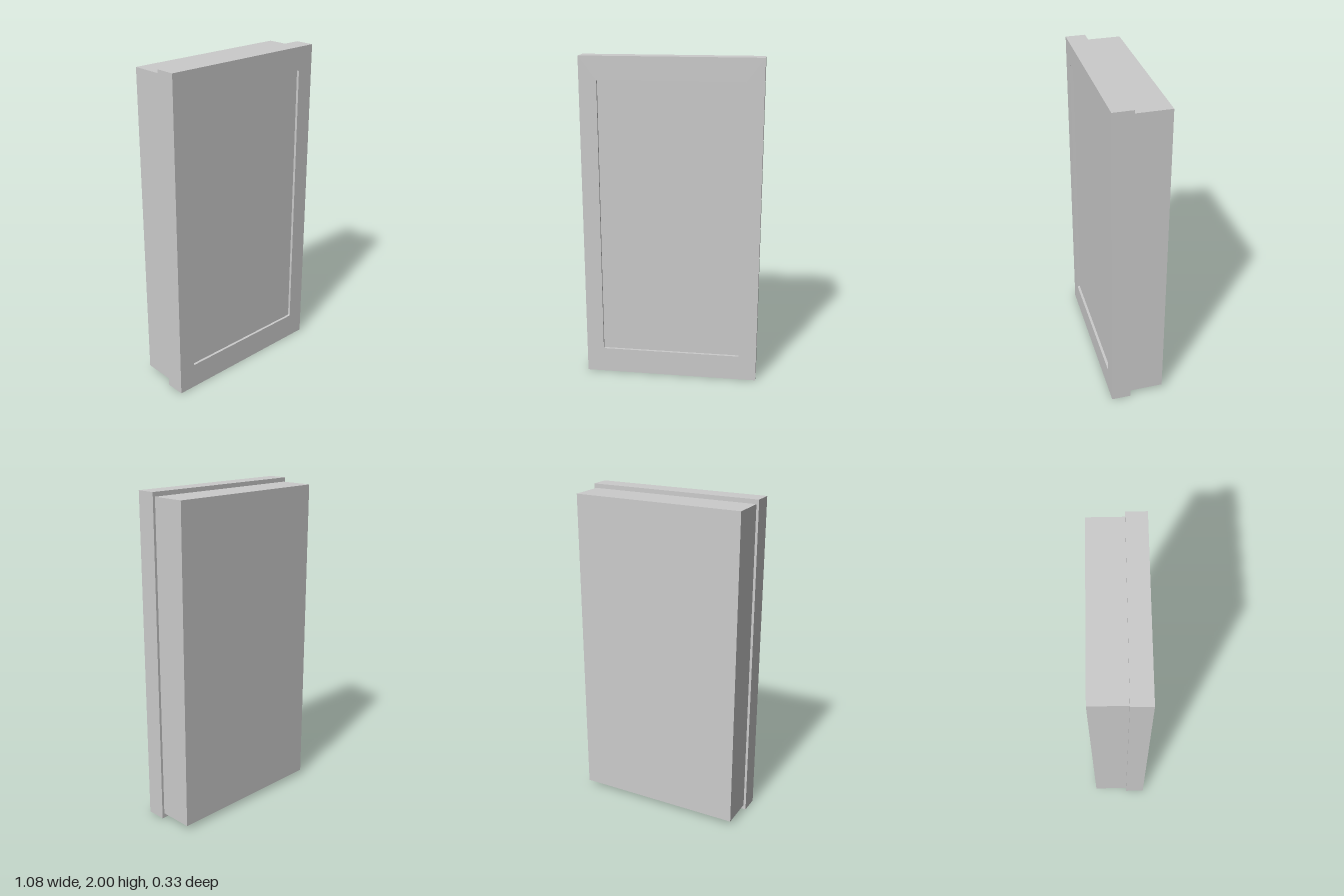
import * as THREE from 'three';

const WIDTH = 1.076, HEIGHT = 2;
const FRONT = 0.166, SEAM = 0.046, BACK = -0.166, RECESS = 0.016;

// Rectangle with slightly rounded corners, traced counter-clockwise
function roundedRect(path, x0, y0, x1, y1, r) {
  path.moveTo(x0 + r, y0);
  path.lineTo(x1 - r, y0);
  path.quadraticCurveTo(x1, y0, x1, y0 + r);
  path.lineTo(x1, y1 - r);
  path.quadraticCurveTo(x1, y1, x1 - r, y1);
  path.lineTo(x0 + r, y1);
  path.quadraticCurveTo(x0, y1, x0, y1 - r);
  path.lineTo(x0, y0 + r);
  path.quadraticCurveTo(x0, y0, x0 + r, y0);
  return path;
}

export function createModel() {
  const group = new THREE.Group();
  const material = new THREE.MeshStandardMaterial({ color: 0xcccccc });

  const add = (name, geometry, x, y, z) => {
    const mesh = new THREE.Mesh(geometry, material);
    mesh.name = name;
    mesh.position.set(x, y, z);
    group.add(mesh);
  };

  // Front frame with the window opening
  const outline = new THREE.Shape();
  outline.moveTo(-WIDTH / 2, 0);
  outline.lineTo(WIDTH / 2, 0);
  outline.lineTo(WIDTH / 2, HEIGHT);
  outline.lineTo(-WIDTH / 2, HEIGHT);
  outline.closePath();
  outline.holes.push(roundedRect(new THREE.Path(), -0.432, 0.158, 0.43, 1.862, 0.008));
  const frame = new THREE.ExtrudeGeometry(outline, {
    depth: FRONT - SEAM, bevelEnabled: false, curveSegments: 4,
  });
  add('frontFrame', frame, 0, 0, SEAM);

  // Panel set back slightly inside the opening
  const panelDepth = FRONT - RECESS - SEAM;
  add('recessedPanel', new THREE.BoxGeometry(0.88, 1.72, panelDepth), 0, 1.01, SEAM + panelDepth / 2);

  // Slightly smaller box behind the frame
  add('rearHousing', new THREE.BoxGeometry(1.046, 1.944, SEAM - BACK), 0, 1.002, (SEAM + BACK) / 2);

  return group;
}
